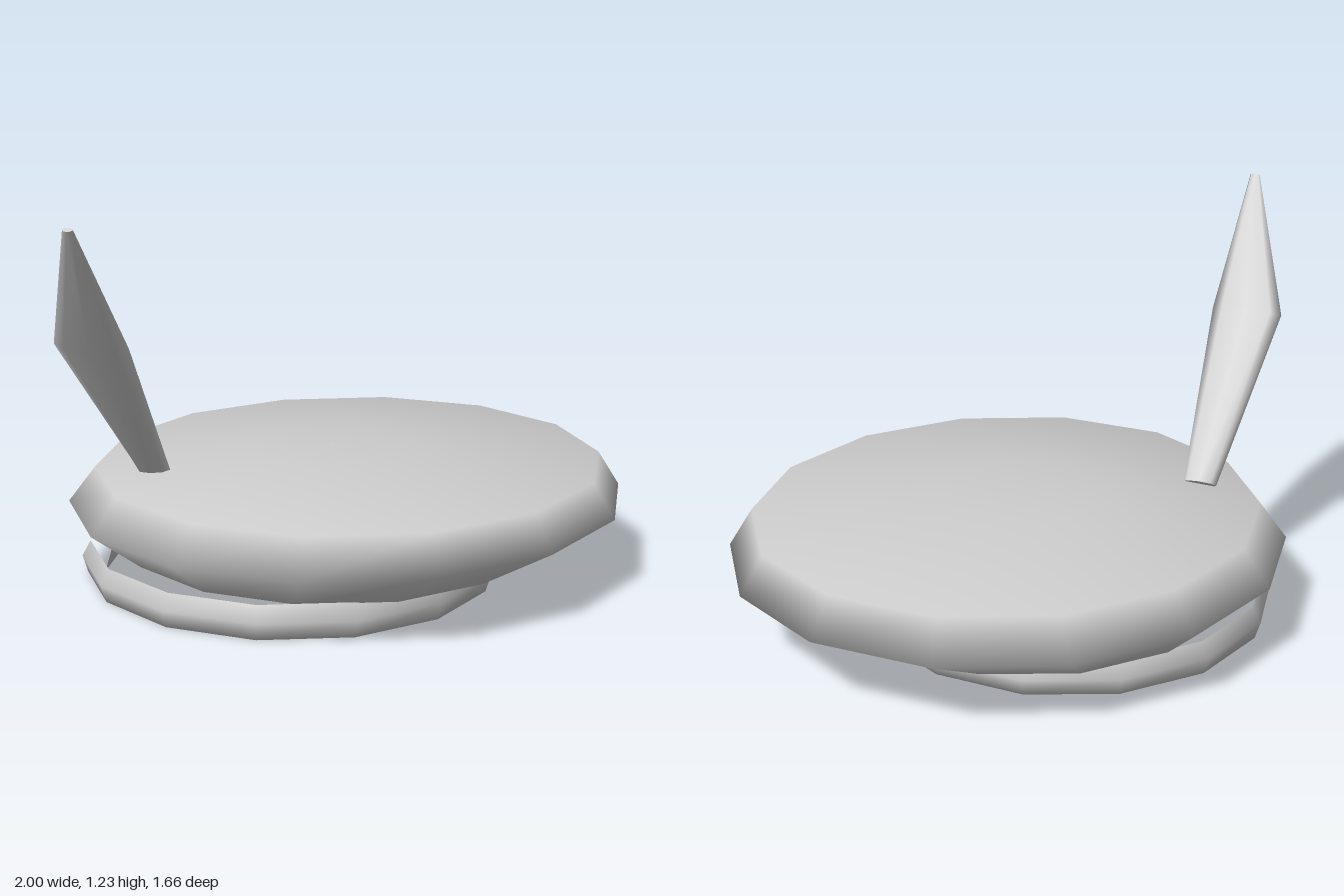
import * as THREE from 'three';

// Smooth skin through matching rings of points, optionally closed with flat end caps
function loft(rings, startCap, endCap) {
  const n = rings[0].length, pos = [], index = [];
  rings.forEach(r => r.forEach(p => pos.push(p.x, p.y, p.z)));
  for (let i = 0; i < rings.length - 1; i++) {
    for (let j = 0; j < n; j++) {
      const a = i * n + j, b = i * n + (j + 1) % n;
      index.push(a, b, b + n, a, b + n, a + n);
    }
  }
  const cap = (ring, flip) => {
    const base = pos.length / 3;
    const mid = ring.reduce((s, p) => s.add(p), new THREE.Vector3()).divideScalar(n);
    [...ring, mid].forEach(p => pos.push(p.x, p.y, p.z));
    for (let j = 0; j < n; j++) {
      const a = base + j, b = base + (j + 1) % n;
      index.push(base + n, flip ? b : a, flip ? a : b);
    }
  };
  if (startCap) cap(rings[0], true);
  if (endCap) cap(rings[rings.length - 1], false);
  const g = new THREE.BufferGeometry();
  g.setAttribute('position', new THREE.Float32BufferAttribute(pos, 3));
  g.setIndex(index);
  g.computeVertexNormals();
  return g;
}

// Oval around centre c spanned by the half axes u and v
function oval(c, u, v, sides) {
  return Array.from({ length: sides }, (_, j) => {
    const a = (j / sides) * Math.PI * 2;
    return c.clone().addScaledVector(u, Math.cos(a)).addScaledVector(v, Math.sin(a));
  });
}

// Horizontal ring: height, centre x, centre z, radius x, radius z
const level = ([y, cx, cz, rx, rz]) => oval(
  new THREE.Vector3(cx, y, cz), new THREE.Vector3(rx, 0, 0), new THREE.Vector3(0, 0, -rz), 14);

export function createModel() {
  const model = new THREE.Group();
  const grey = new THREE.MeshStandardMaterial({ color: 0xcccccc });
  grey.name = 'light grey';
  const add = (name, geometry) => {
    const mesh = new THREE.Mesh(geometry, grey);
    mesh.name = name;
    model.add(mesh);
  };

  // Round body with a bulging rim and a shallow domed top
  add('body', loft([
    [0.10, 0.04, -0.015, 0.67, 0.67],
    [0.23, 0.10, 0, 0.90, 0.85],
    [0.345, 0.10, 0.015, 0.82, 0.775],
    [0.40, 0.04, 0, 0.26, 0.25],
    [0.40, 0.04, 0, 0.001, 0.001],
  ].map(level), true, false));

  // Hollow foot ring, offset from the body
  add('footRing', loft([
    [0.105, 0.565], [0, 0.595], [0, 0.65], [0.055, 0.667], [0.105, 0.64],
  ].map(([y, r]) => level([y, -0.088, -0.037, r, r])), false, false));

  // Leaning flat blade, widest in the middle
  const axis = new THREE.Vector3(-0.46, 0.87, 0.47).normalize();
  const wide = new THREE.Vector3(0.68, 0, 0.73).normalize();
  const thick = axis.clone().cross(wide).normalize();
  const blade = [
    [-0.52, 0.365, -0.14, 0.055, 0.028],
    [-0.82, 0.84, 0.09, 0.117, 0.026],
    [-0.985, 1.23, 0.332, 0.016, 0.008],
  ].map(([x, y, z, w, t]) => oval(new THREE.Vector3(x, y, z),
    wide.clone().multiplyScalar(w), thick.clone().multiplyScalar(t), 8));
  add('blade', loft(blade, true, true));

  return model;
}
